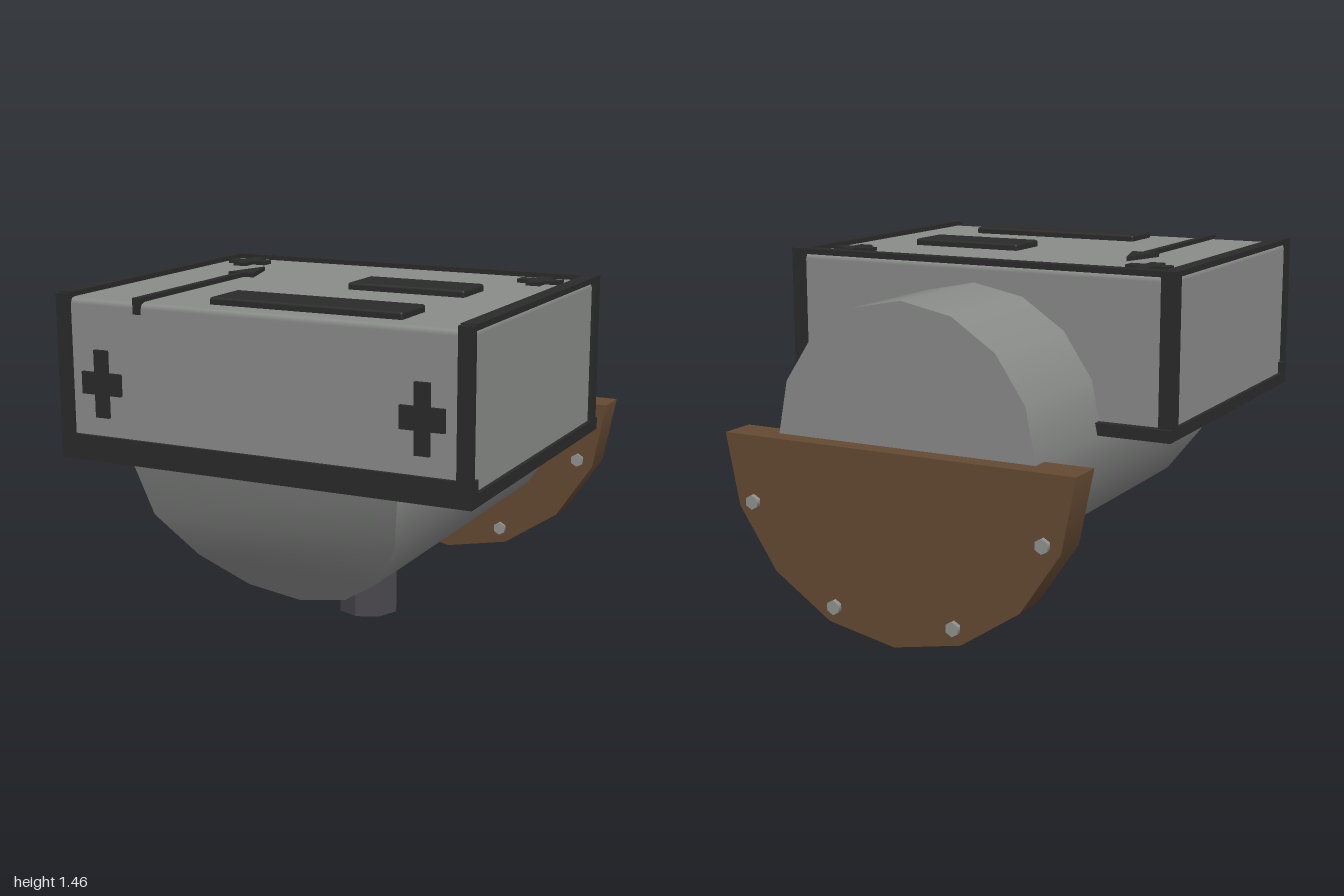
import * as THREE from 'three';
import { RoundedBoxGeometry } from 'three/addons/geometries/RoundedBoxGeometry.js';

const mat = (name, color, extra = {}) => {
  const m = new THREE.MeshStandardMaterial({ color, ...extra });
  m.name = name;
  return m;
};

export function createModel() {
  const gray = mat('metalGray', 0x8a8c8a);
  const dark = mat('darkTrim', 0x2b2b2b);
  const brown = mat('rustBrown', 0x654a33);
  const boltGray = mat('boltGray', 0x929492);
  const pinGray = mat('pinGray', 0x49474d, { flatShading: true });

  const model = new THREE.Group();
  const group = (name) => {
    const g = new THREE.Group();
    g.name = name;
    model.add(g);
    return g;
  };
  const add = (parent, name, geometry, material, x = 0, y = 0, z = 0) => {
    const mesh = new THREE.Mesh(geometry, material);
    mesh.name = name;
    mesh.position.set(x, y, z);
    parent.add(mesh);
    return mesh;
  };
  // box given by its limits on each axis
  const bar = (parent, name, material, x0, x1, y0, y1, z0, z1) =>
    add(parent, name, new THREE.BoxGeometry(x1 - x0, y1 - y0, z1 - z0), material,
      (x0 + x1) / 2, (y0 + y1) / 2, (z0 + z1) / 2);

  // housing with softened edges
  add(model, 'housing', new RoundedBoxGeometry(1.71, 0.62, 1.32, 1, 0.025), gray, 0, 1.125, 0.325);

  // trim frame along the housing edges
  const frame = group('frame');
  for (const s of [-1, 1]) {
    const [a, b] = s > 0 ? [0.81, 0.87] : [-0.87, -0.81];
    bar(frame, 'bottomSideRail', dark, a, b, 0.8, 0.85, -0.365, 0.985);
    bar(frame, 'topSideRail', dark, a, b, 1.432, 1.455, -0.345, 0.98);
    bar(frame, 'frontPost', dark, a, b, 0.8, 1.45, 0.975, 1.0);
    bar(frame, 'backPost', dark, a, b, 0.8, 1.455, -0.35, -0.29);
  }
  bar(frame, 'bottomFrontRail', dark, -0.87, 0.87, 0.8, 0.9, 0.94, 1.0);
  bar(frame, 'bottomBackRail', dark, -0.87, 0.87, 0.8, 0.85, -0.37, -0.3);
  bar(frame, 'topBackRail', dark, -0.87, 0.87, 1.432, 1.455, -0.35, -0.295);

  // plus marks on the top and the front
  const marks = group('plusMarks');
  for (const s of [-1, 1]) {
    const x = s * 0.68;
    bar(marks, 'topPlusAcross', dark, x - 0.09, x + 0.09, 1.43, 1.45, -0.185, -0.125);
    bar(marks, 'topPlusAlong', dark, x - 0.03, x + 0.03, 1.43, 1.45, -0.245, -0.065);
    const f = s * 0.675;
    bar(marks, 'frontPlusAcross', dark, f - 0.088, f + 0.088, 1.065, 1.152, 0.98, 0.999);
    bar(marks, 'frontPlusUpright', dark, f - 0.03, f + 0.03, 0.975, 1.24, 0.98, 0.999);
  }

  // arrow on the top, folded over the front edge
  const arrow = group('arrow');
  bar(arrow, 'arrowShaft', dark, -0.52, -0.49, 1.43, 1.453, 0.2, 0.995);
  bar(arrow, 'arrowFold', dark, -0.52, -0.49, 1.39, 1.453, 0.97, 0.995);
  const head = new THREE.Shape([
    new THREE.Vector2(-0.06, -0.22), new THREE.Vector2(0.06, -0.22), new THREE.Vector2(0, -0.02),
  ]);
  const headGeo = new THREE.ExtrudeGeometry(head, { depth: 0.023, bevelEnabled: false }).rotateX(-Math.PI / 2);
  add(arrow, 'arrowHead', headGeo, dark, -0.505, 1.43, 0);

  // raised plates on the top
  add(model, 'smallTopPlate', new RoundedBoxGeometry(0.5, 0.04, 0.205, 1, 0.01), dark, 0.305, 1.443, 0.24);
  add(model, 'largeTopPlate', new RoundedBoxGeometry(0.795, 0.04, 0.205, 1, 0.01), dark, 0.158, 1.443, 0.8);

  // barrel: its lower front end is cut back in two slopes
  const R = 0.565, CY = 0.795, BACK = -0.9;
  const frontZ = (y) => {
    if (y >= CY) return 0.96;
    if (y >= 0.579) return 0.89 + (0.07 * (y - 0.579)) / (CY - 0.579);
    return 0.66 + (0.23 * (y - 0.23)) / 0.349;
  };
  const barrel = group('barrel');
  const tube = new THREE.CylinderGeometry(R, R, 1, 16, 1, true).rotateX(Math.PI / 2);
  const p = tube.attributes.position;
  for (let i = 0; i < p.count; i++) p.setZ(i, p.getZ(i) > 0 ? frontZ(p.getY(i) + CY) : BACK);
  add(barrel, 'barrelWall', tube, gray, 0, CY, 0);
  add(barrel, 'barrelBackCap', new THREE.CircleGeometry(R, 16).rotateY(Math.PI), gray, 0, CY, BACK);

  // sloped front cap, in rows from the bottom to mid height
  const verts = [], index = [];
  for (let i = 0; i <= 4; i++) {
    const a = (i * Math.PI) / 8;
    const x = R * Math.sin(a), y = CY - R * Math.cos(a);
    verts.push(-x, y, frontZ(y), x, y, frontZ(y));
    if (i < 4) {
      const k = 2 * i;
      index.push(k, k + 1, k + 3, k, k + 3, k + 2);
    }
  }
  const cap = new THREE.BufferGeometry();
  cap.setAttribute('position', new THREE.Float32BufferAttribute(verts, 3));
  cap.setIndex(index);
  cap.computeVertexNormals();
  add(barrel, 'barrelFrontCap', cap, gray);

  // half-round flange at the back, with a flat top
  const flange = group('flange');
  const half = new THREE.CylinderGeometry(0.765, 0.765, 0.15, 8, 1, false, -Math.PI / 2, Math.PI);
  add(flange, 'flangePlate', half.rotateX(Math.PI / 2), brown, 0, 0.797, -0.905);
  add(flange, 'flangeTop', new THREE.PlaneGeometry(1.53, 0.15).rotateX(-Math.PI / 2), brown, 0, 0.797, -0.905);
  for (const [x, y] of [[0.637, 0.53], [0.265, 0.155]]) {
    for (const s of [-1, 1]) {
      const bolt = new THREE.CylinderGeometry(0.03, 0.03, 0.185, 6).rotateX(Math.PI / 2);
      add(flange, 'bolt', bolt, boltGray, s * x, y, -0.9075);
    }
  }

  // foot pin under the barrel
  add(model, 'footPin', new THREE.CylinderGeometry(0.13, 0.13, 0.32, 8), pinGray, 0, 0.16, 0.04);

  return model;
}
